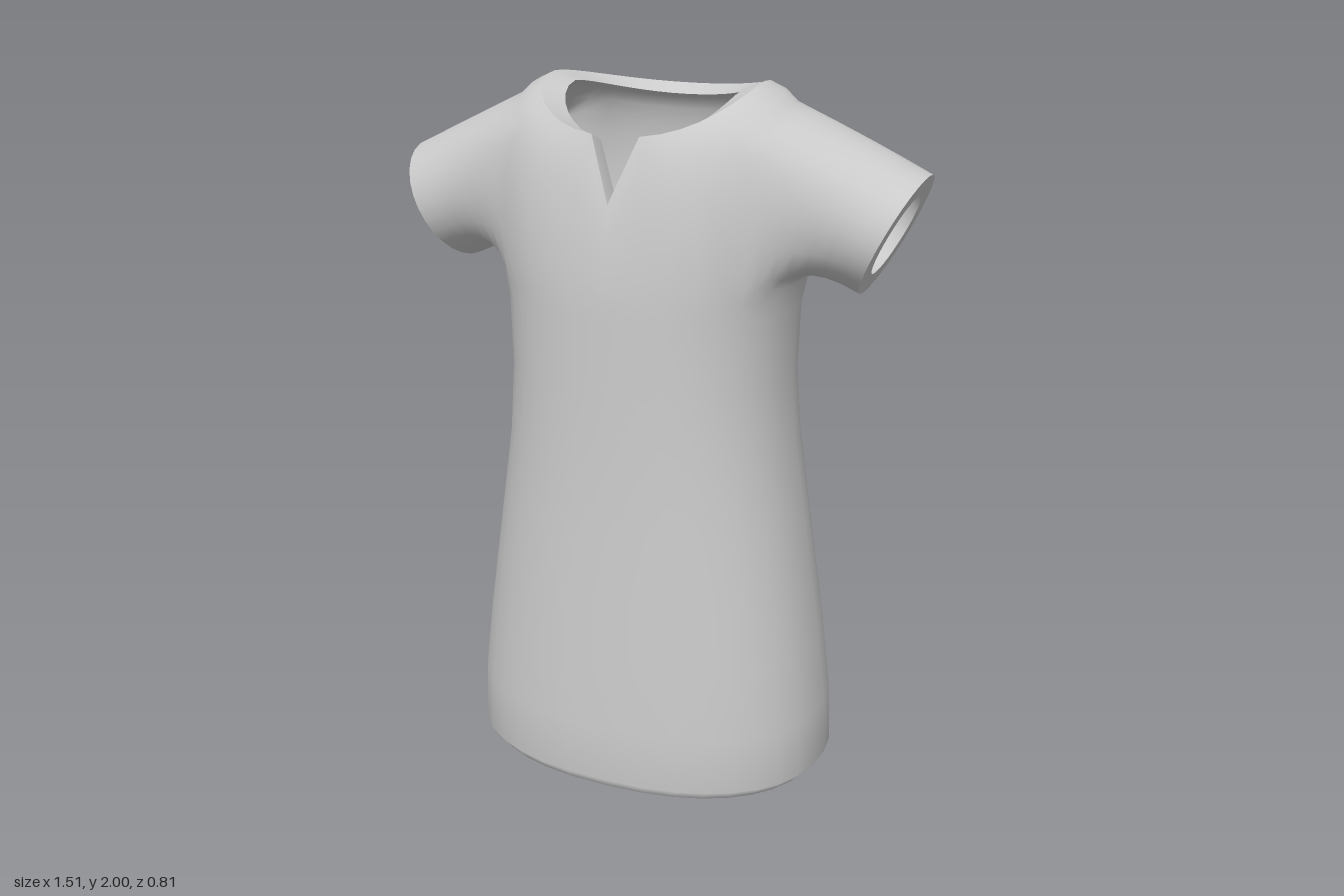
import * as THREE from 'three';

const COLS = 36, ARM = 4;
const V = (x, y, z) => new THREE.Vector3(x, y, z);

// Rounded oval: half-width w, front depth f, back depth b
function oval(t, w, f, b, y) {
  const c = Math.cos(t), s = Math.sin(t), e = 2 / (s > 0 ? 2.3 : 2.1);
  return V(w * Math.sign(c) * Math.abs(c) ** e, y, (s > 0 ? f : -b) * Math.abs(s) ** e);
}
const bezier = (a, m, b, s) => new THREE.QuadraticBezierCurve3(a, m, b).getPoint(s);

// Skirt and waist: y, half-width, front depth, back depth
const PROFILE = [
  [0, .52, .385, .385], [.03, .546, .405, .402], [.2, .54, .4, .392], [.4, .515, .39, .377],
  [.6, .485, .38, .36], [.8, .455, .37, .345], [1, .425, .363, .328], [1.2, .41, .36, .315],
  [1.4, .416, .358, .32], [1.45, .428, .358, .324],
];
const CHEST = PROFILE.length - 1, YOKE = 8, ARM_TOP = CHEST + 6, TOP = CHEST + YOKE;

// Yoke: curves from the chest ring over the shoulders to the neckline
function yokePoint(t, s) {
  const [y, w, f, b] = PROFILE[CHEST], sn = Math.sin(t), k = Math.abs(sn);
  const front = sn > 0;
  const mid = oval(t, .5, .34, .37, (front ? 1.75 : 1.85) + (front ? .2 : .1) * (1 - k * k));
  const neck = oval(t, .31, .28, .27, 2 - (front ? .125 : .05) * k ** 1.5);
  return bezier(oval(t, w, f, b, y), mid, neck, s);
}

function quad(index, a, b, c, d, flip) {
  if (flip) index.push(a, d, c, a, b, d);
  else index.push(a, c, d, a, d, b);
}

function makeMesh(name, points, index, material) {
  const g = new THREE.BufferGeometry().setFromPoints(points);
  g.setIndex(index);
  g.computeVertexNormals();
  const mesh = new THREE.Mesh(g, material);
  mesh.name = name;
  return mesh;
}

// Flat band joining the outer cloth edge to the lining edge
function makeRim(name, outer, inner, flip, material) {
  const n = outer.length, index = [];
  for (let k = 0; k < n; k++) {
    const j = (k + 1) % n;
    quad(index, k, j, n + k, n + j, flip);
  }
  return makeMesh(name, [...outer, ...inner], index, material);
}

export function createModel() {
  const group = new THREE.Group();
  group.name = 'tunic';
  const material = new THREE.MeshStandardMaterial({ color: 0xcccccc, side: THREE.DoubleSide });
  const points = [], index = [], edges = [];
  const at = (r, i) => r * COLS + (i + COLS) % COLS;

  // Body rings; the front centre column stops early to form the neck notch
  for (let r = 0; r <= TOP; r++) {
    for (let i = 0; i < COLS; i++) {
      const t = i / COLS * Math.PI * 2;
      if (r <= CHEST) {
        const [y, w, f, b] = PROFILE[r];
        points.push(oval(t, w, f, b, y));
      } else {
        points.push(yokePoint(t, (r - CHEST) / YOKE * (i === COLS / 4 ? .5 : 1)));
      }
    }
  }
  // Body faces, leaving an armhole on each side
  for (let r = 0; r < TOP; r++) {
    for (let i = 0; i < COLS; i++) {
      const o = (i + ARM) % (COLS / 2);
      if (r >= CHEST && r < ARM_TOP && o < 2 * ARM) continue;
      quad(index, at(r, i), at(r, i + 1), at(r + 1, i), at(r + 1, i + 1));
    }
  }

  // Sleeves grow out of the armhole edges
  const STEPS = 7;
  for (const side of [1, -1]) {
    const col = (r, o) => at(r, side > 0 ? o : COLS / 2 - o);
    let loop = [];
    for (let o = 0; o < ARM; o++) loop.push(col(CHEST, o));
    for (let r = CHEST; r < ARM_TOP; r++) loop.push(col(r, ARM));
    for (let o = ARM; o > -ARM; o--) loop.push(col(ARM_TOP, o));
    for (let r = ARM_TOP; r > CHEST; r--) loop.push(col(r, -ARM));
    for (let o = -ARM; o < 0; o++) loop.push(col(CHEST, o));
    const n = loop.length, base = loop.map(k => points[k]);
    const centre = V(side * .675, 1.612, -.035);
    const axis = V(side * .898, -.442, 0);
    for (let q = 1; q <= STEPS; q++) {
      const next = [];
      for (let k = 0; k < n; k++) {
        const a = (k / n - .25) * Math.PI * 2, h = .181 * Math.sin(a);
        const end = V(side * .442 * h, .898 * h, .2 * Math.cos(a)).add(centre);
        const mid = end.clone().addScaledVector(axis, -.2);
        next.push(points.length);
        points.push(bezier(base[k], mid, end, q / STEPS));
      }
      for (let k = 0; k < n; k++) {
        const j = (k + 1) % n;
        quad(index, loop[k], loop[j], next[k], next[j], side < 0);
      }
      loop = next;
    }
    edges.push({
      name: side > 0 ? 'leftCuff' : 'rightCuff', loop, flip: side < 0,
      inset: p => p.clone().sub(centre).multiplyScalar(.66).add(centre),
    });
  }

  // Neckline and hem edges
  const ring = r => Array.from({ length: COLS }, (_, i) => at(r, i));
  edges.push({
    name: 'neckline', loop: ring(TOP), flip: false,
    inset: p => V(p.x * (p.z > 0 && Math.abs(p.x) < .1 ? 1 : .8), p.y - .025, p.z * .79),
  });
  edges.push({
    name: 'hem', loop: ring(0), flip: true,
    inset: p => V(p.x * .97, p.y, p.z * .97),
  });

  const shell = makeMesh('outerCloth', points, index, material);
  group.add(shell);

  // Lining: the same cloth moved inward and turned inside out
  const normals = shell.geometry.attributes.normal;
  const lining = points.map((p, k) =>
    p.clone().addScaledVector(V().fromBufferAttribute(normals, k), -.025));
  for (const { name, loop, flip, inset } of edges) {
    const outer = loop.map(k => points[k]), inner = outer.map(inset);
    loop.forEach((k, j) => { lining[k] = inner[j]; });
    group.add(makeRim(name, outer, inner, flip, material));
  }
  group.add(makeMesh('lining', lining, index.slice().reverse(), material));
  return group;
}
